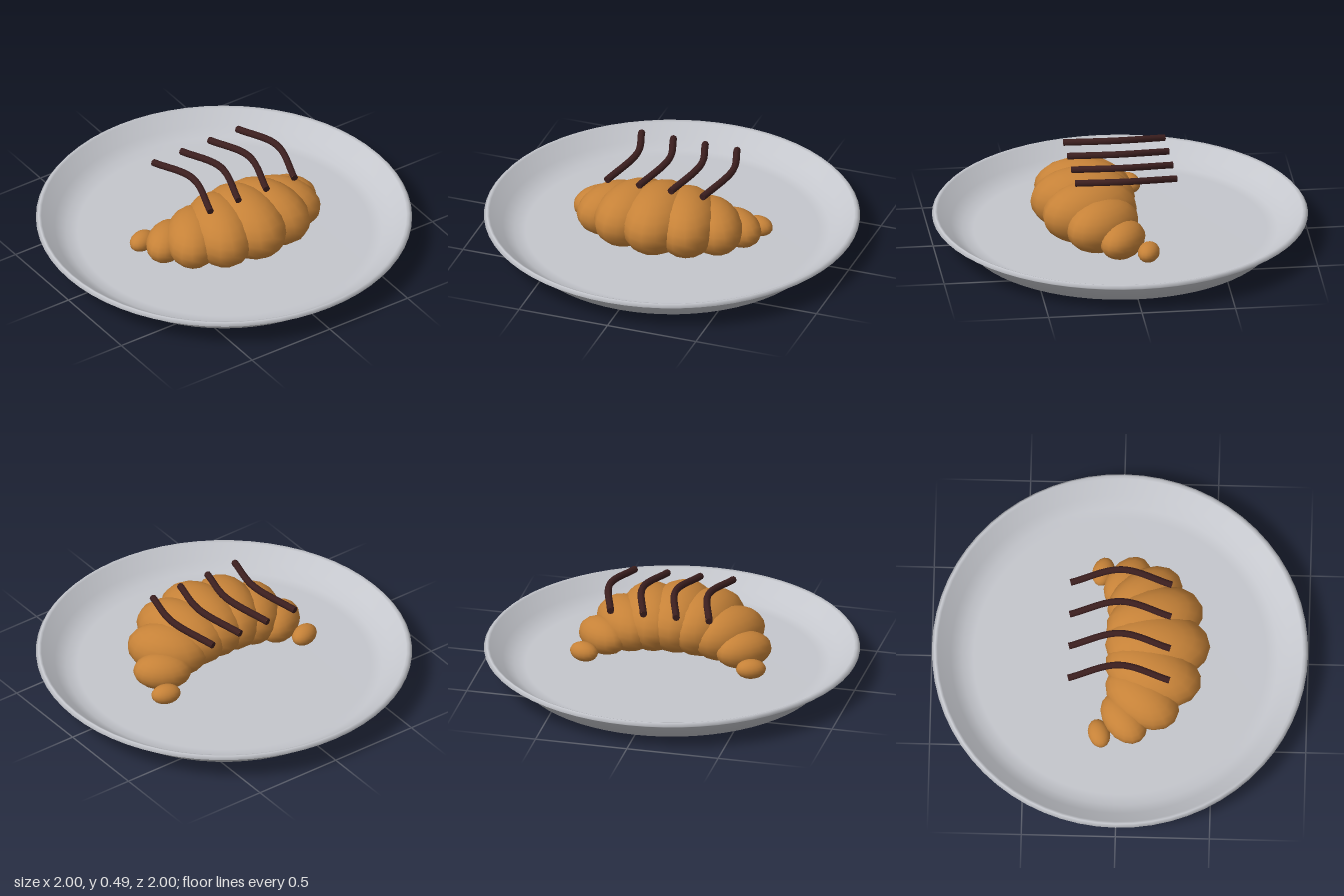
import * as THREE from 'three';

export function createModel() {
  const model = new THREE.Group();
  const mat = (name, color) => {
    const m = new THREE.MeshStandardMaterial({ color });
    m.name = name;
    return m;
  };
  const ceramic = mat('plate grey', 0xc4c6cc);
  const pastry = mat('baked pastry', 0xc68238);
  const chocolate = mat('dark chocolate', 0x3c1f1f);

  const add = (name, geometry, material, parent = model) => {
    const mesh = new THREE.Mesh(geometry, material);
    mesh.name = name;
    parent.add(mesh);
    return mesh;
  };

  // Plate: underside outward, over the rim, then back across the inner floor
  const profile = [
    [0, 0], [0.82, 0], [0.9, 0.085], [0.985, 0.13], [1, 0.14],
    [0.985, 0.158], [0.97, 0.152], [0.9, 0.09], [0.84, 0.055], [0.78, 0.05], [0, 0.05],
  ].map(([x, y]) => new THREE.Vector2(x, y));
  add('plate', new THREE.LatheGeometry(profile, 64), ceramic);

  // Croissant: overlapping flattened lobes along a crescent, mirrored in x
  const croissant = new THREE.Group();
  croissant.name = 'croissant';
  model.add(croissant);
  const lobe = new THREE.SphereGeometry(1, 16, 12);
  // x, z, turn, half thickness, half height, half length
  const lobes = [
    [0, 0.2, 0, 0.19, 0.175, 0.28],
    [0.15, 0.18, 0.31, 0.175, 0.167, 0.265],
    [0.28, 0.125, 0.63, 0.15, 0.14, 0.22],
    [0.385, 0.03, 0.94, 0.107, 0.098, 0.155],
    [0.457, -0.1, 1.26, 0.058, 0.052, 0.08],
  ];
  lobes.forEach(([x, z, turn, rx, ry, rz], i) => {
    for (const side of i ? [-1, 1] : [1]) {
      const name = i === 0 ? 'middleLobe' : i === 4 ? 'tip' : 'lobe';
      const mesh = add(name, lobe, pastry, croissant);
      mesh.position.set(side * x, 0.058 + ry, z);
      mesh.rotation.y = side * turn;
      mesh.scale.set(rx, ry, rz);
    }
  });

  // Chocolate drizzle: four bowed strands with closed ends
  const strand = new THREE.CatmullRomCurve3([
    new THREE.Vector3(-0.035, 0.445, -0.27),
    new THREE.Vector3(0.035, 0.472, 0),
    new THREE.Vector3(-0.035, 0.445, 0.27),
  ]);
  const tube = new THREE.TubeGeometry(strand, 20, 0.019, 8);
  const cap = new THREE.CircleGeometry(0.019, 8);
  for (let i = 0; i < 4; i++) {
    const group = new THREE.Group();
    group.name = 'drizzle';
    group.position.x = -0.235 + i * 0.18;
    model.add(group);
    add('strand', tube, chocolate, group);
    for (const t of [0, 1]) {
      const end = add('strandEnd', cap, chocolate, group);
      const outward = strand.getTangent(t).multiplyScalar(t ? 1 : -1);
      end.position.copy(strand.getPoint(t));
      end.quaternion.setFromUnitVectors(new THREE.Vector3(0, 0, 1), outward);
    }
  }

  return model;
}
